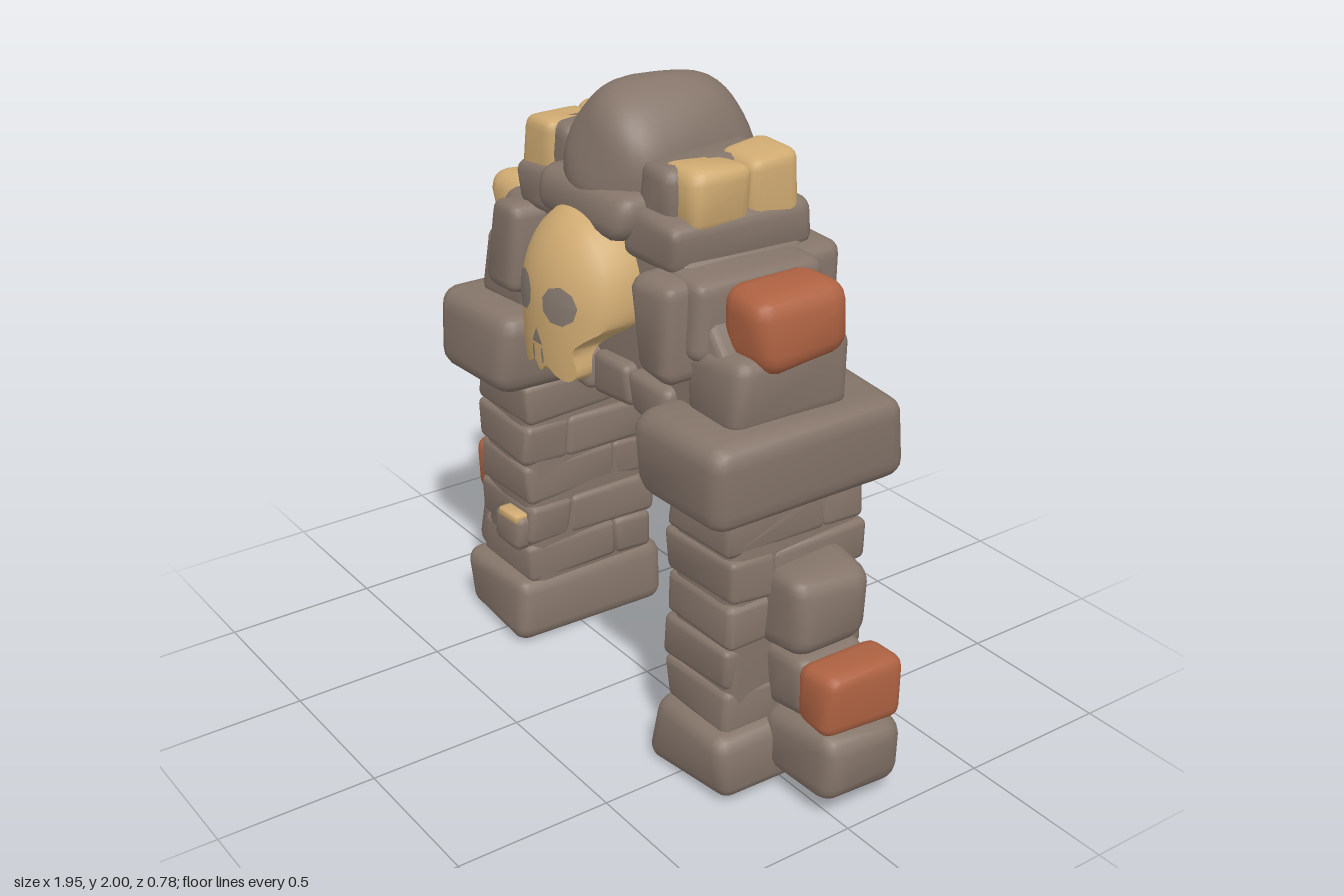
import * as THREE from 'three';
import { RoundedBoxGeometry } from 'three/addons/geometries/RoundedBoxGeometry.js';
import { mergeVertices, toCreasedNormals } from 'three/addons/utils/BufferGeometryUtils.js';

const material = (name, color, side = THREE.FrontSide) => {
  const m = new THREE.MeshStandardMaterial({ color, side });
  m.name = name;
  return m;
};

// Small seeded random numbers for the uneven masonry
let seed = 7;
const rnd = () => (seed = (seed * 16807) % 2147483647) / 2147483647;

// Weather a geometry: nudge vertices by a smooth function of position
function weather(geo, amount) {
  geo.deleteAttribute('uv');
  geo.deleteAttribute('normal');
  const p = geo.attributes.position;
  for (let i = 0; i < p.count; i++) {
    const x = p.getX(i), y = p.getY(i), z = p.getZ(i);
    p.setXYZ(i,
      x + amount * Math.sin(17 * y + 11 * z + 5 * x),
      Math.max(0.003, y + amount * Math.sin(13 * x + 15 * z + 2)),
      z + amount * Math.sin(14 * x + 19 * y + 1));
  }
  geo = mergeVertices(geo, 1e-4);
  geo.computeVertexNormals();
  return toCreasedNormals(geo, 0.75);
}

export function createModel() {
  const group = new THREE.Group();
  group.name = 'stoneArch';
  const stone = material('stone', 0x85756a);
  const sand = material('sandstone', 0xd0ab72);
  const clay = material('clay', 0xae6242);
  const bone = material('bone', 0xd0ab72, THREE.DoubleSide);
  const socket = material('socket', 0x85796f, THREE.DoubleSide);

  const add = (name, geo, mat) => {
    const mesh = new THREE.Mesh(geo, mat);
    mesh.name = name;
    group.add(mesh);
    return mesh;
  };

  // Rounded, weathered stone given by its bounds
  const block = (name, mat, x0, x1, y0, y1, z0, z1, round = 0.25, amount = 0.01) => {
    const w = x1 - x0, h = y1 - y0, d = z1 - z0;
    const geo = new RoundedBoxGeometry(w, h, d, 2, Math.min(w, h, d) * round);
    geo.translate((x0 + x1) / 2, (y0 + y1) / 2, (z0 + z1) / 2);
    return add(name, weather(geo, amount), mat);
  };
  // The same stone on side s (+1 or -1)
  const sideBlock = (s, name, mat, a, b, ...rest) =>
    block(name, mat, Math.min(s * a, s * b), Math.max(s * a, s * b), ...rest);

  for (const s of [1, -1]) {
    // Pillars, feet and capitals
    sideBlock(s, 'foot', stone, 0.365, 0.725, 0.005, 0.225, -0.325, 0.25, 0.22);
    sideBlock(s, 'pillar', stone, 0.39, 0.675, 0.1, 1.0, -0.285, 0.19, 0.13, 0.006);
    sideBlock(s, 'capital', stone, 0.345, 0.755, 0.915, 1.185, -0.385, 0.305, 0.24, 0.009);

    // Uneven brick courses on the pillar
    for (let i = 0; i < 5; i++) {
      const y = 0.21 + i * 0.145;
      const split = -0.05 + (i % 2 ? 0.09 : -0.09);
      for (const [z0, z1] of [[-0.29, split], [split, 0.2]]) {
        sideBlock(s, 'pillarBrick', stone, 0.395 - 0.022 * rnd(), 0.67 + 0.025 * rnd(),
          y, y + 0.14, z0 - 0.015 * rnd(), z1 + 0.015 * rnd() - 0.005, 0.16, 0.006);
      }
    }

    // Stones stacked beside the upper wall
    sideBlock(s, 'shoulderStone', stone, 0.42, 0.67, 1.15, 1.38, -0.23, 0.18, 0.2);
    sideBlock(s, 'springerStone', stone, 0.3, 0.47, 1.27, 1.56, -0.35, 0.275, 0.25);
    sideBlock(s, 'stepStone', stone, 0.3, 0.52, 1.34, 1.57, -0.24, 0.2, 0.2);
    sideBlock(s, 'ledgeStone', stone, 0.17, 0.4, 1.54, 1.69, -0.29, 0.2, 0.25);
    sideBlock(s, 'crownStone', stone, 0.16, 0.33, 1.6, 1.82, -0.23, 0.16, 0.25);

    // Coloured middle stones
    sideBlock(s, 'middleStone', s > 0 ? clay : sand, 0.49, 0.705, 1.33, 1.555, -0.195, 0.12, 0.3, 0.008);

    // Rubble leaning on the outside of the pillar
    sideBlock(s, 'rubbleLow', stone, 0.65, 0.97, 0.06, 0.285, -0.235, 0.06, 0.26);
    sideBlock(s, 'rubbleMiddle', stone, 0.64, 0.84, 0.28, 0.49, -0.2, 0.05, 0.22);
    sideBlock(s, 'rubbleClay', clay, 0.815, 0.965, 0.29, 0.49, -0.225, 0.06, 0.27, 0.006);
  }
  block('rubbleUpper', stone, 0.63, 0.835, 0.49, 0.74, -0.2, 0.07, 0.28);
  block('rubbleUpper', stone, -0.91, -0.64, 0.48, 0.645, -0.2, 0.06, 0.26);
  block('rubbleTop', stone, -0.84, -0.64, 0.59, 0.74, -0.18, 0.06, 0.28);

  // Sandstone pieces near the crown
  block('crownSandstone', sand, 0.23, 0.4, 1.635, 1.84, -0.255, -0.075, 0.24, 0.008);
  block('crownSandstone', sand, 0.225, 0.405, 1.635, 1.83, -0.085, 0.13, 0.24, 0.008);
  block('crownSandstone', sand, -0.4, -0.235, 1.64, 1.83, -0.21, 0.0, 0.24, 0.008);
  block('crownSandstone', sand, -0.395, -0.23, 1.635, 1.825, -0.02, 0.185, 0.24, 0.008);

  // Projecting brick with a pale chip
  block('projectingBrick', stone, -0.55, -0.4, 0.335, 0.46, 0.1, 0.235, 0.22, 0.005);
  block('paleChip', sand, -0.515, -0.41, 0.437, 0.468, 0.17, 0.238, 0.3, 0.003);

  // Wall over the opening, with a shallow arched underside
  const wall = new THREE.Shape();
  wall.moveTo(-0.42, 1.03);
  wall.quadraticCurveTo(0, 1.1, 0.42, 1.03);
  for (const [x, y] of [[0.6, 1.14], [0.59, 1.36], [0.44, 1.54], [0.33, 1.64], [0.2, 1.72],
    [-0.2, 1.72], [-0.33, 1.64], [-0.44, 1.54], [-0.59, 1.36], [-0.6, 1.14]]) wall.lineTo(x, y);
  const wallGeo = new THREE.ExtrudeGeometry(wall, {
    depth: 0.36, bevelThickness: 0.025, bevelSize: 0.02, bevelOffset: -0.02, bevelSegments: 2, curveSegments: 10,
  });
  wallGeo.translate(0, 0, -0.22);
  add('archWall', weather(wallGeo, 0.006), stone);

  // Lintel stones along the lower edge, front and back
  for (let i = 0; i < 4; i++) {
    const x = -0.38 + i * 0.19, y = 1.075 - 0.1 * (x + 0.095) ** 2;
    block('lintelStone', stone, x, x + 0.19, y, y + 0.13 + 0.02 * rnd(), -0.27, 0.2 + 0.015 * rnd(), 0.2, 0.006);
  }

  // Domed capstone with a squared-off length and a lip below it
  const dome = new THREE.SphereGeometry(1, 40, 24);
  const dp = dome.attributes.position;
  for (let i = 0; i < dp.count; i++) {
    const x = dp.getX(i), y = dp.getY(i), z = dp.getZ(i);
    dp.setXYZ(i, x * 0.205, 1.73 + y * (y > 0 ? 0.262 : 0.14),
      -0.045 + Math.sign(z) * Math.sqrt(Math.abs(z)) * 0.275);
  }
  add('capstone', weather(dome, 0.007), stone);
  block('capstoneLip', stone, -0.225, 0.22, 1.58, 1.72, -0.325, 0.255, 0.4, 0.01);

  // Skull: half outline mirrored, filled with rings over a bulging face
  const half = [[0, 1.648], [0.08, 1.636], [0.15, 1.59], [0.2, 1.51], [0.215, 1.42], [0.203, 1.35],
    [0.16, 1.31], [0.13, 1.275], [0.137, 1.2], [0.11, 1.175], [0.07, 1.182], [0.03, 1.205]];
  const outline = [...half, [0, 1.18], ...half.slice(1).reverse().map(([x, y]) => [-x, y])].reverse();
  const rim = new THREE.CatmullRomCurve3(outline.map(([x, y]) => new THREE.Vector3(x, y, 0)), true)
    .getPoints(72).slice(0, 72);
  const faceZ = (x, y) => {
    const v = y > 1.38 ? (y - 1.38) / 0.285 : (1.38 - y) / 0.7;
    return 0.2 + 0.185 * Math.sqrt(Math.max(0, 1 - (x / 0.232) ** 2 - v * v));
  };
  const backZ = (y) => 0.17 + 0.12 * THREE.MathUtils.smoothstep(1.38 - y, 0, 0.15);
  const rings = 14, n = rim.length, pos = [], index = [];
  for (let r = 0; r <= rings + 2; r++) {
    const t = r <= rings ? r / rings : r === rings + 1 ? 1 : 0;
    for (const p of rim) {
      const x = p.x * t, y = 1.4 + (p.y - 1.4) * t;
      pos.push(x, y, r <= rings ? faceZ(x, y) : backZ(p.y));
    }
  }
  for (let r = 0; r < rings + 2; r++) for (let i = 0; i < n; i++) {
    const a = r * n + i, b = r * n + (i + 1) % n;
    index.push(a, a + n, b + n, a, b + n, b);
  }
  const skull = new THREE.BufferGeometry();
  skull.setAttribute('position', new THREE.Float32BufferAttribute(pos, 3));
  skull.setIndex(index);
  const skullGeo = mergeVertices(skull, 1e-4);
  skullGeo.computeVertexNormals();
  add('skull', toCreasedNormals(skullGeo, 0.8), bone);

  // Eye sockets, nose and tooth gaps lie on the face surface
  const patch = (name, cx, cy, rx, ry, sides, turn) => {
    const geo = new THREE.RingGeometry(0.001, 1, sides, 5, turn);
    const p = geo.attributes.position;
    for (let i = 0; i < p.count; i++) {
      const x = cx + p.getX(i) * rx, y = cy + p.getY(i) * ry;
      p.setXYZ(i, x, y, faceZ(x, y) + 0.005);
    }
    geo.computeVertexNormals();
    add(name, geo, socket);
  };
  patch('eyeSocket', -0.083, 1.408, 0.057, 0.06, 9, 0.3);
  patch('eyeSocket', 0.09, 1.405, 0.06, 0.058, 9, 0.1);
  patch('nose', 0, 1.285, 0.03, 0.032, 3, Math.PI / 2);
  for (const x of [-0.022, 0.022]) patch('toothGap', x, 1.235, 0.005, 0.028, 6, 0);

  return group;
}
